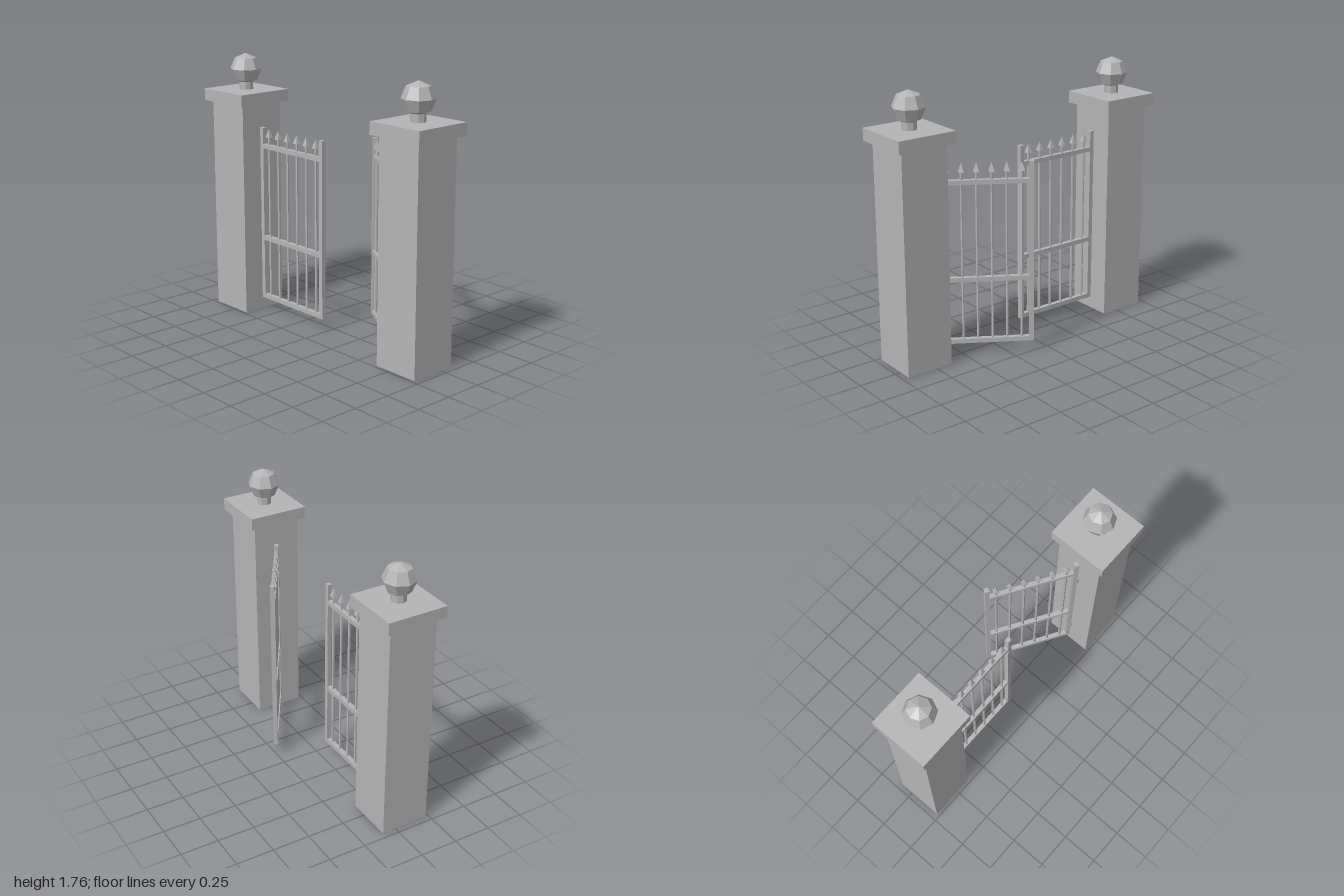
import * as THREE from 'three';

const stone = new THREE.MeshStandardMaterial({ color: 0xb4b4b4 });
stone.name = 'plain grey';

// Faceted mesh at a position
function part(name, geometry, x, y, z) {
  const flat = geometry.index ? geometry.toNonIndexed() : geometry;
  flat.computeVertexNormals();
  const mesh = new THREE.Mesh(flat, stone);
  mesh.name = name;
  mesh.position.set(x, y, z);
  return mesh;
}

// Box given by its bottom height
function block(name, w, h, d, x, bottom, z = 0) {
  return part(name, new THREE.BoxGeometry(w, h, d), x, bottom + h / 2, z);
}

// Square pillar with slab cap, short neck and faceted ball
function pillar(name) {
  const g = new THREE.Group();
  g.name = name;
  g.add(
    block('pillarShaft', 0.32, 1.44, 0.32, 0, 0),
    block('pillarCap', 0.4, 0.08, 0.4, 0, 1.44),
    part('ballNeck', new THREE.CylinderGeometry(0.047, 0.047, 0.06, 8), 0, 1.55, 0),
    part('ball', new THREE.SphereGeometry(0.105, 8, 4), 0, 1.657, 0)
  );
  return g;
}

// Gate leaf running along +x from its hinge edge
function gateLeaf(name) {
  const g = new THREE.Group();
  g.name = name;
  const length = 0.62, t = 0.03;
  for (const x of [t / 2, length - t / 2]) g.add(block('stile', t, 1.2, t, x, 0.08));
  for (const y of [0.08, 0.5, 1.14]) g.add(block('rail', length - 2 * t, t, t, length / 2, y));
  for (let i = 0; i < 6; i++) {
    const x = length / 2 + (i - 2.5) * 0.0936;
    g.add(part('bar', new THREE.CylinderGeometry(0.009, 0.009, 1.13, 6), x, 0.66, 0));
    const spike = new THREE.ConeGeometry(0.025, 0.06, 4).rotateY(Math.PI / 4);
    g.add(part('spike', spike, x, 1.25, 0));
  }
  return g;
}

export function createModel() {
  const model = new THREE.Group();
  model.name = 'gateway';
  const z = 0.07;
  for (const side of [-1, 1]) {
    const label = side < 0 ? 'right' : 'left';
    const post = pillar(label + 'Pillar');
    post.position.set(side * 0.8, 0, z);
    // The leaf on the model's left stands ajar
    const leaf = gateLeaf(label + 'Gate');
    leaf.position.set(side * 0.64, 0, z);
    leaf.rotation.y = side < 0 ? 0 : Math.PI - 0.55;
    model.add(post, leaf);
    for (const y of [0.24, 1.0]) model.add(block('hinge', 0.02, 0.065, 0.03, side * 0.637, y, z));
  }
  return model;
}
